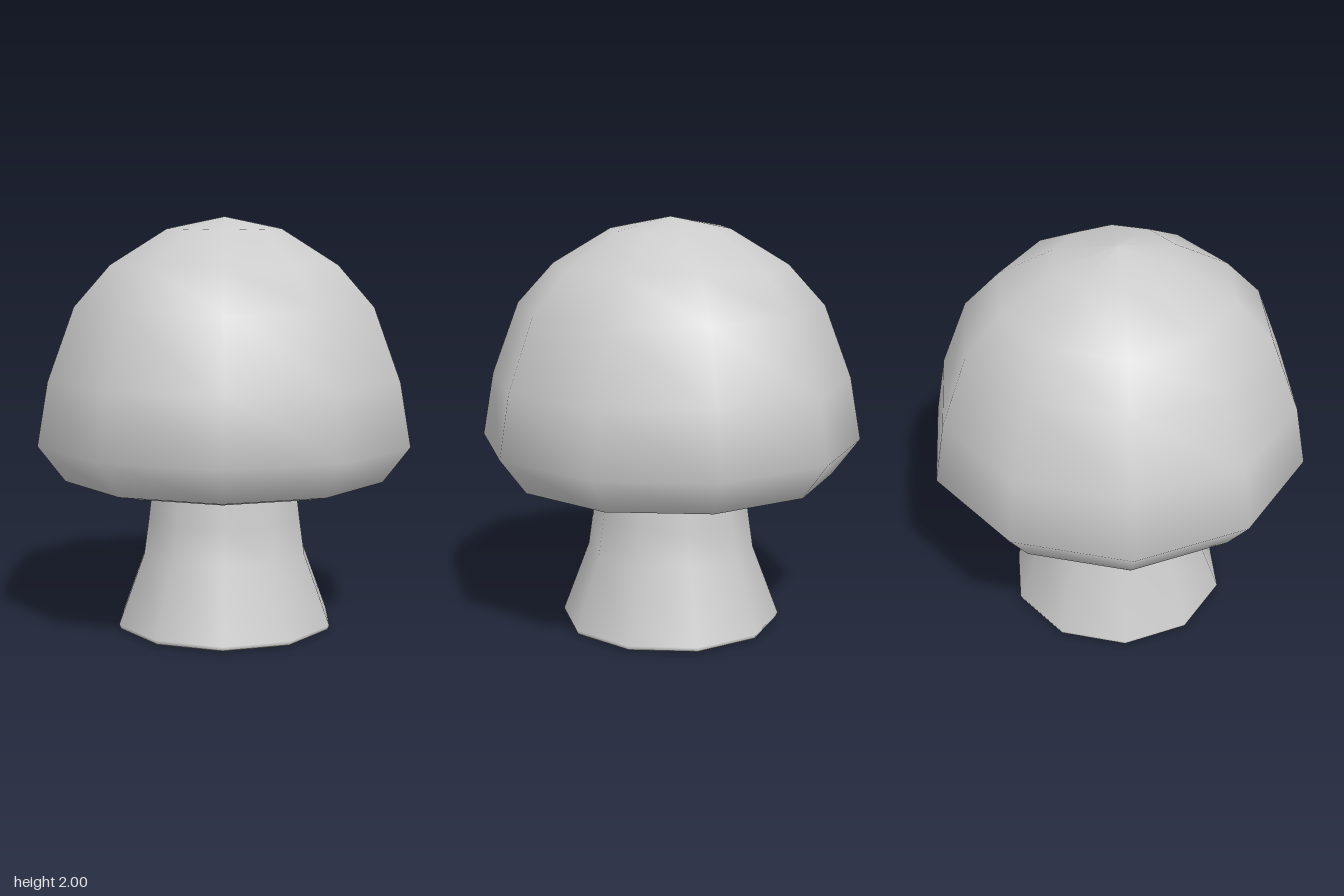
import * as THREE from 'three';

const SIDES = 10;

// Ten-sided turned part; profile runs from bottom to top as [radius, height],
// with a corner pointing along +x.
function turned(name, profile) {
  const points = profile.map(([r, y]) => new THREE.Vector2(r, y));
  const geometry = new THREE.LatheGeometry(points, SIDES, Math.PI / 2);
  const mesh = new THREE.Mesh(geometry, new THREE.MeshStandardMaterial({ color: 0xcccccc }));
  mesh.name = name;
  return mesh;
}

export function createModel() {
  const mushroom = new THREE.Group();
  mushroom.name = 'mushroom';

  // Domed cap, curling under to meet the top of the stem
  mushroom.add(turned('cap', [
    [0.37, 0.667], [0.48, 0.715], [0.65, 0.717], [0.794, 0.75],
    [0.926, 0.925], [0.873, 1.23], [0.742, 1.58], [0.566, 1.775],
    [0.288, 1.943], [0, 2],
  ]));

  // Waisted stem, flaring to the foot
  mushroom.add(turned('stem', [
    [0.53, 0.005], [0.539, 0.025], [0.41, 0.37], [0.386, 0.54], [0.37, 0.667],
  ]));

  // Flat underside of the foot
  mushroom.add(turned('stemBase', [[0, 0], [0.525, 0], [0.53, 0.005]]));

  return mushroom;
}
